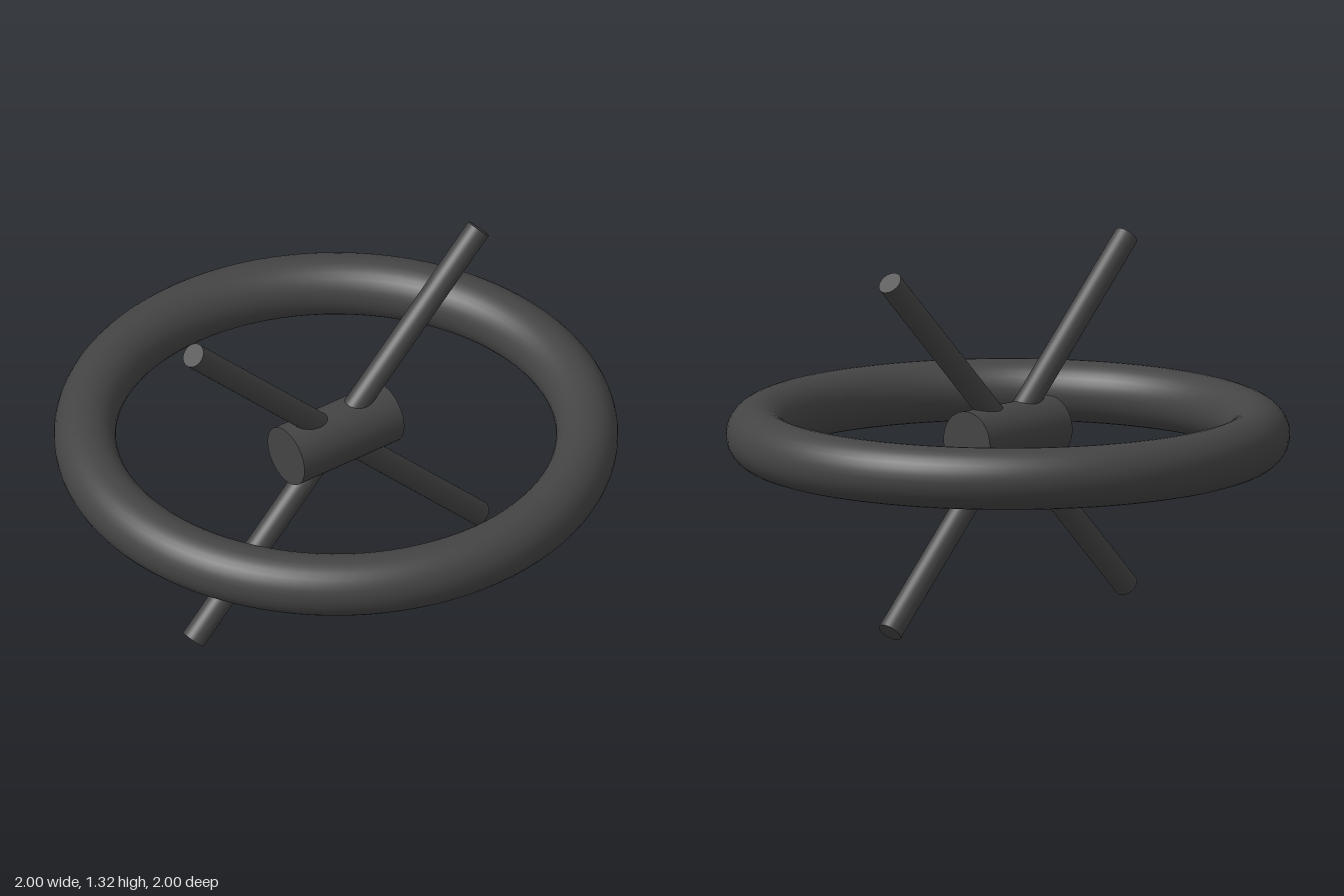
import * as THREE from 'three';

const CENTER_Y = 0.66;
const RIM_RADIUS = 0.89;
const TUBE_RADIUS = 0.11;

export function createModel() {
  const model = new THREE.Group();
  model.name = 'spokedWheel';
  const material = new THREE.MeshStandardMaterial({ color: 0x444444 });

  const addPart = (name, geometry) => {
    const mesh = new THREE.Mesh(geometry, material);
    mesh.name = name;
    mesh.position.y = CENTER_Y;
    model.add(mesh);
    return mesh;
  };

  // Horizontal ring
  const rim = addPart('rim', new THREE.TorusGeometry(RIM_RADIUS, TUBE_RADIUS, 32, 96));
  rim.rotation.x = Math.PI / 2;

  // Central hub lying along x
  const hub = addPart('hub', new THREE.CylinderGeometry(TUBE_RADIUS, TUBE_RADIUS, 0.44, 48));
  hub.rotation.z = Math.PI / 2;

  // Two crossed rods through the hub, in the upright plane
  for (const side of [1, -1]) {
    const rod = addPart(
      side > 0 ? 'rodRisingRight' : 'rodRisingLeft',
      new THREE.CylinderGeometry(0.044, 0.044, 2 * RIM_RADIUS, 32)
    );
    rod.rotation.z = (-side * Math.PI) / 4;
  }

  return model;
}
